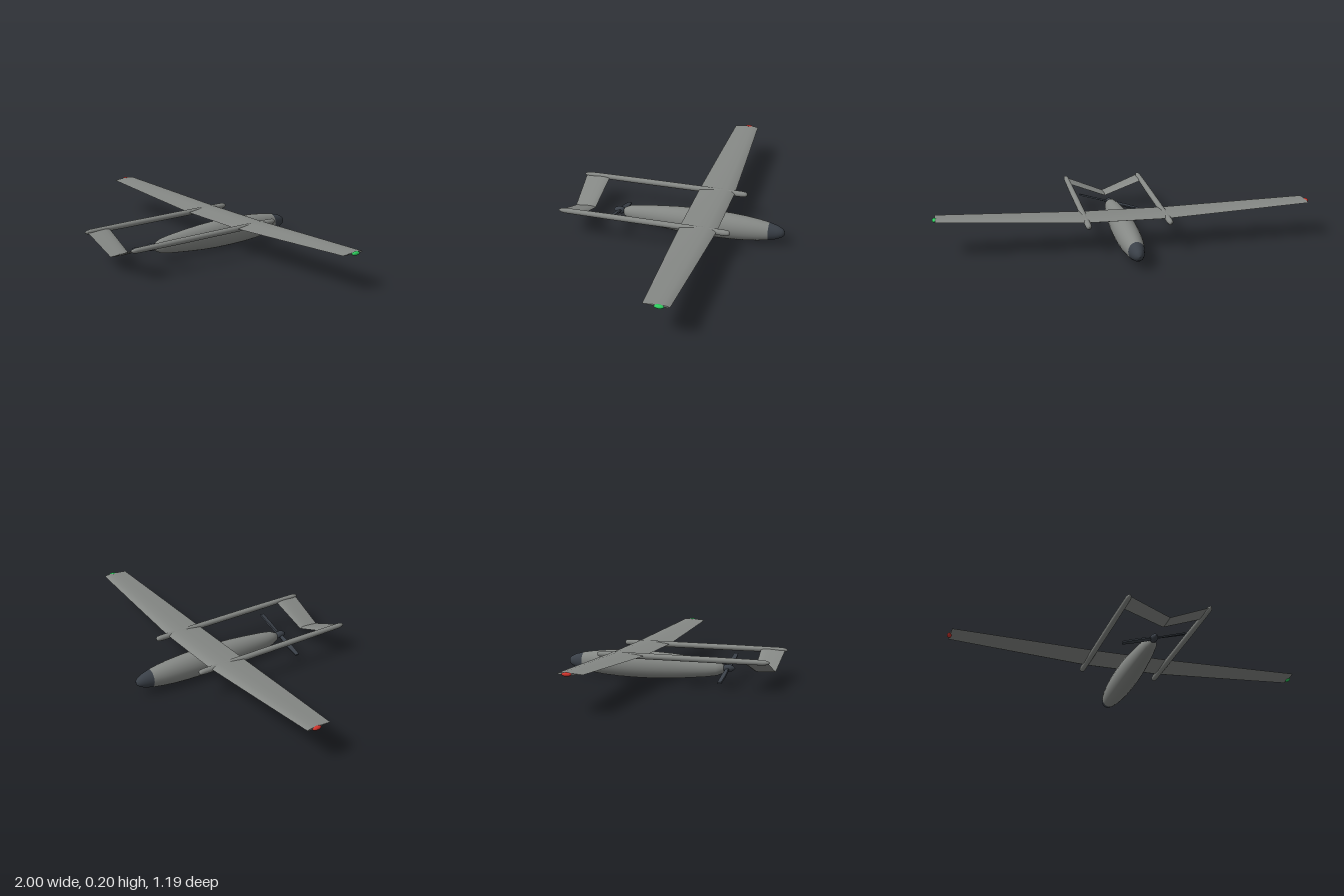
import * as THREE from 'three';
import { toCreasedNormals } from 'three/addons/utils/BufferGeometryUtils.js';

const mat = (name, color) => new THREE.MeshStandardMaterial({ name, color });

// Aerofoil outline: [chord fraction, height as a fraction of thickness]
const FOIL = [[1, 0], [0.75, 0.26], [0.5, 0.48], [0.25, 0.6], [0.08, 0.4], [0, 0],
  [0.08, -0.27], [0.25, -0.38], [0.5, -0.32], [0.75, -0.18]];

// Lofts the aerofoil through sections ordered along +x: [x, y, zLeading, zTrailing, thickness]
function loftFoil(sections) {
  const pos = [], idx = [], n = FOIL.length;
  for (const [x, y, zl, zt, th] of sections)
    for (const [c, h] of FOIL) pos.push(x, y + h * th, zl + c * (zt - zl));
  for (let s = 0; s < sections.length - 1; s++)
    for (let i = 0; i < n; i++) {
      const a = s * n + i, b = s * n + (i + 1) % n, c = a + n, d = b + n;
      idx.push(a, c, b, b, c, d);
    }
  const last = (sections.length - 1) * n;
  for (let i = 1; i < n - 1; i++) {
    idx.push(0, i, i + 1);
    idx.push(last, last + i + 1, last + i);
  }
  const g = new THREE.BufferGeometry();
  g.setAttribute('position', new THREE.Float32BufferAttribute(pos, 3));
  g.setIndex(idx);
  return toCreasedNormals(g, 0.7);
}

// Body of revolution along z; profile is [z, radius] from front (-z) to rear
function turned(profile, sides = 24) {
  const g = new THREE.LatheGeometry(profile.map(([z, r]) => new THREE.Vector2(r, z)), sides);
  return g.rotateX(Math.PI / 2);
}

export function createModel() {
  const model = new THREE.Group();
  model.name = 'twinBoomDrone';
  const grey = mat('airframe grey', 0x858885);
  const dark = mat('dark slate', 0x3a4048);
  const red = mat('red light', 0xd0342c);
  const green = mat('green light', 0x2ecc5e);

  const add = (name, geo, material, x = 0, y = 0, z = 0, parent = model) => {
    const m = new THREE.Mesh(geo, material);
    m.name = name;
    m.position.set(x, y, z);
    parent.add(m);
    return m;
  };

  // Fuselage and nose cap share one continuous profile
  const axisY = 0.075;
  const nose = [[-0.597, 0], [-0.593, 0.014], [-0.58, 0.026], [-0.555, 0.038], [-0.51, 0.05]];
  const body = [[-0.51, 0.05], [-0.45, 0.06], [-0.38, 0.068], [-0.3, 0.073], [-0.2, 0.075], [-0.1, 0.074],
    [0, 0.069], [0.1, 0.06], [0.2, 0.049], [0.26, 0.039], [0.295, 0.022], [0.302, 0]];
  add('fuselage', turned(body), grey, 0, axisY).scale.x = 0.86;
  add('noseCap', turned(nose), dark, 0, axisY).scale.x = 0.86;

  // Main wing: flat centre section, tapered outer panels with dihedral
  const half = [[0.21, 0.16, -0.275, -0.076, 0.022], [0.6, 0.176, -0.258, -0.09, 0.017],
    [0.985, 0.192, -0.24, -0.105, 0.011]];
  const mirrored = half.map(([x, ...r]) => [-x, ...r]).reverse();
  add('wing', loftFoil([...mirrored, ...half]), grey);

  // Tail booms with rounded ends
  const boom = [[-0.345, 0], [-0.342, 0.009], [-0.333, 0.014], [-0.31, 0.016], [0.3, 0.016],
    [0.56, 0.014], [0.58, 0.011], [0.592, 0.006], [0.596, 0]];
  for (const s of [1, -1]) {
    add(s > 0 ? 'leftBoom' : 'rightBoom', turned(boom, 16), grey, s * 0.213, 0.157);
  }

  // V tail hanging between the booms
  const tailTip = [0.215, 0.16, 0.447, 0.583, 0.012];
  add('vTail', loftFoil([[-0.215, ...tailTip.slice(1)], [0, 0.073, 0.465, 0.578, 0.012], tailTip]), grey);

  // Pusher propeller: spinner and two tapered blades
  const propeller = new THREE.Group();
  propeller.name = 'propeller';
  propeller.position.set(0, 0.08, 0.325);
  propeller.rotation.z = 0.29;
  model.add(propeller);
  add('spinner', turned([[-0.028, 0], [-0.028, 0.016], [-0.012, 0.02], [0.008, 0.019], [0.022, 0.013], [0.034, 0]], 16),
    dark, 0, 0, 0, propeller);
  for (const s of [1, -1]) {
    const blade = new THREE.BoxGeometry(0.165, 0.009, 0.024, 4, 1, 1);
    const p = blade.attributes.position;
    for (let i = 0; i < p.count; i++) {
      const t = p.getX(i) / 0.165 + 0.5;
      const k = 0.75 + 0.35 * Math.sin(Math.PI * Math.min(1, t * 0.9));
      const y = p.getY(i), z = p.getZ(i) * k, a = 0.35 * (1 - 0.6 * t);
      p.setXYZ(i, p.getX(i) + 0.094, y * Math.cos(a) - z * Math.sin(a), y * Math.sin(a) + z * Math.cos(a));
    }
    blade.computeVertexNormals();
    add('blade', blade, dark, 0, 0, -0.006, propeller).rotation.z = s > 0 ? 0 : Math.PI;
  }

  // Wing tip navigation lights
  for (const [name, s, m] of [['leftLight', 1, green], ['rightLight', -1, red]]) {
    add(name, new THREE.SphereGeometry(1, 16, 10), m, s * 0.988, 0.191, -0.187).scale.set(0.012, 0.01, 0.025);
  }
  return model;
}
